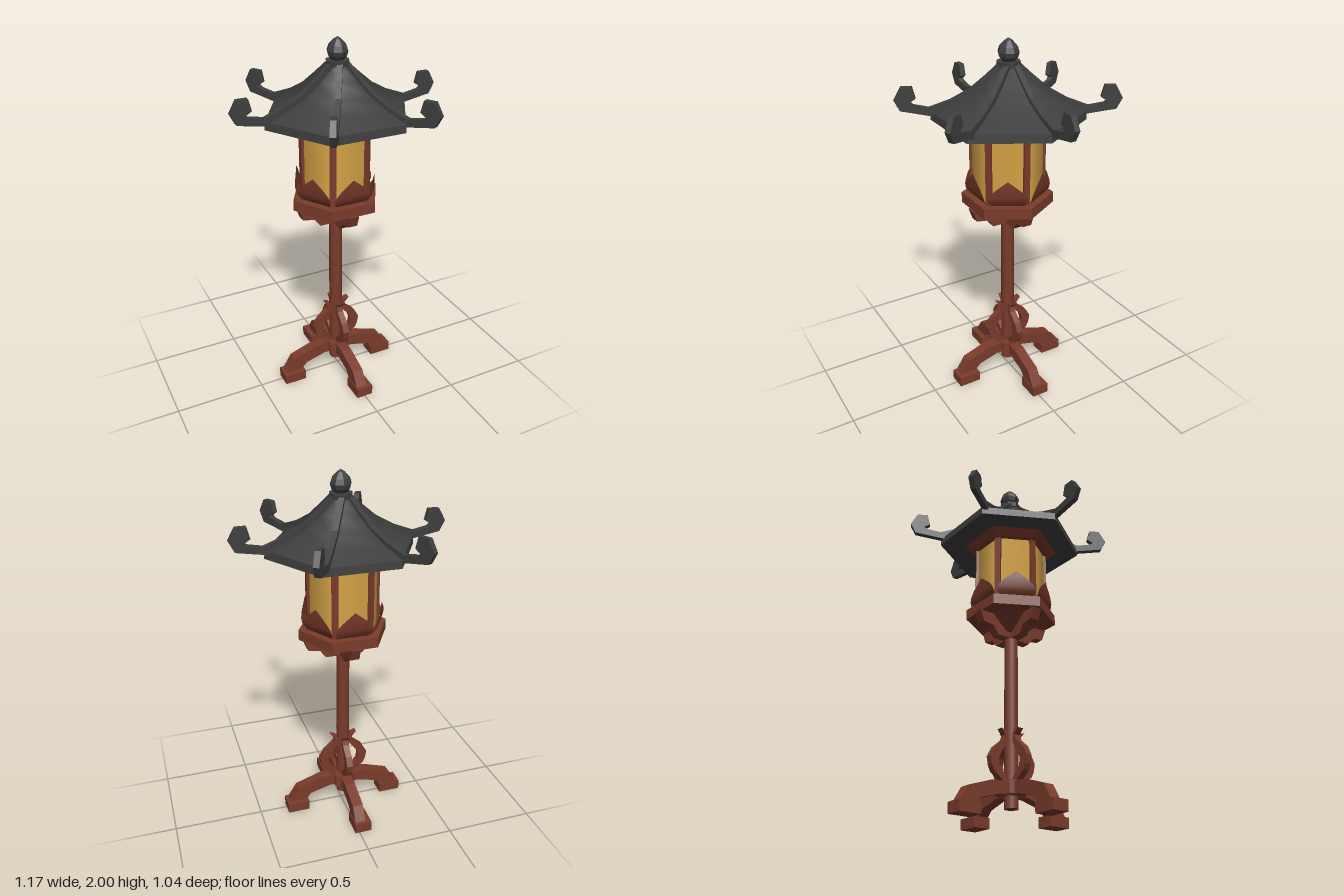
import * as THREE from 'three';

const wood = new THREE.MeshStandardMaterial({ color: 0x7a3b2b });
wood.name = 'red wood';
const tile = new THREE.MeshStandardMaterial({ color: 0x3f3f3f });
tile.name = 'dark roof tile';
const glow = new THREE.MeshStandardMaterial({ color: 0xd9a748 });
glow.name = 'amber pane';
const petalWood = new THREE.MeshStandardMaterial({ color: 0x753828, side: THREE.DoubleSide });
petalWood.name = 'petal wood';

const V = (pts) => pts.map(([x, y]) => new THREE.Vector2(x, y));

function add(parent, name, geometry, material) {
  const mesh = new THREE.Mesh(geometry, material);
  mesh.name = name;
  parent.add(mesh);
  return mesh;
}

// Hard-edged version of a geometry
function flat(geometry) {
  const g = geometry.index ? geometry.toNonIndexed() : geometry;
  g.computeVertexNormals();
  return g;
}

// Upright prism or frustum with a corner on +x
function prism(rTop, rBottom, y0, y1, sides = 6) {
  return new THREE.CylinderGeometry(rTop, rBottom, y1 - y0, sides, 1, false, Math.PI / 2)
    .translate(0, (y0 + y1) / 2, 0);
}

// Side outline in (radius, height), given thickness between z0 and z1
function slab(pts, z0, z1) {
  return new THREE.ExtrudeGeometry(new THREE.Shape(V(pts)), { depth: z1 - z0, bevelEnabled: false })
    .translate(0, 0, z0);
}

// Copies of a part spaced evenly around the axis
function ring(parent, name, count, start, geometry, material) {
  for (let i = 0; i < count; i++) {
    add(parent, name, geometry, material).rotation.y = -(start + (i * Math.PI * 2) / count);
  }
}

// Curved petal facing +x, lofted from [height, distance, half width]
function petalGeometry() {
  const rows = [[1.16, 0.178, 0.088], [1.19, 0.2, 0.104], [1.22, 0.207, 0.1],
    [1.255, 0.21, 0.07], [1.28, 0.21, 0.038], [1.308, 0.21, 0.002]];
  const pos = [];
  const index = [];
  rows.forEach(([y, d, w], i) => {
    pos.push(d, y, w, d, y, -w);
    if (i) {
      const a = 2 * i - 2;
      index.push(a, a + 1, a + 3, a, a + 3, a + 2);
    }
  });
  const g = new THREE.BufferGeometry();
  g.setAttribute('position', new THREE.Float32BufferAttribute(pos, 3));
  g.setIndex(index);
  g.computeVertexNormals();
  return g;
}

function buildStand() {
  const stand = new THREE.Group();
  stand.name = 'stand';
  add(stand, 'pole', new THREE.CylinderGeometry(0.037, 0.037, 1.0, 12).translate(0, 0.56, 0), wood);
  add(stand, 'hub', flat(prism(0.078, 0.078, 0.125, 0.193, 8)), wood);

  // Splayed legs and block feet
  const leg = slab([[0.03, 0.19], [0.14, 0.185], [0.285, 0.137], [0.335, 0.055],
    [0.24, 0.055], [0.205, 0.09], [0.09, 0.122], [0.03, 0.122]], -0.03, 0.03);
  ring(stand, 'leg', 4, 0, leg, wood);
  const foot = new THREE.BoxGeometry(0.127, 0.057, 0.096).translate(0.291, 0.0285, -0.0125);
  ring(stand, 'foot', 4, 0, foot, wood);

  // Curling leaves round the foot of the pole
  const leaf = slab([[0.03, 0.18], [0.06, 0.19], [0.12, 0.235], [0.135, 0.265], [0.143, 0.31],
    [0.116, 0.36], [0.06, 0.408], [0.05, 0.435], [0.076, 0.466], [0.045, 0.455], [0.028, 0.435],
    [0.034, 0.395], [0.08, 0.335], [0.092, 0.3], [0.085, 0.26], [0.03, 0.205]], -0.018, 0.018);
  ring(stand, 'leaf', 4, 0, leaf, wood);

  // Stepped brackets under the platform
  const bracket = slab([[0, 0.985], [0.105, 0.985], [0.14, 1.03], [0.205, 1.04],
    [0.228, 1.103], [0, 1.103]], -0.026, 0.026);
  ring(stand, 'bracket', 4, 0, bracket, wood);
  add(stand, 'bracketCup', flat(prism(0.17, 0.06, 1.02, 1.105)), wood);
  return stand;
}

function buildLantern() {
  const lantern = new THREE.Group();
  lantern.name = 'lantern';
  add(lantern, 'platform', flat(prism(0.25, 0.25, 1.1, 1.158)), wood);
  add(lantern, 'panes', prism(0.198, 0.198, 1.155, 1.545), glow);
  const post = new THREE.BoxGeometry(0.034, 0.385, 0.034).translate(0.186, 1.35, 0);
  ring(lantern, 'post', 6, 0, post, wood);
  ring(lantern, 'petal', 6, Math.PI / 6, petalGeometry(), petalWood);
  add(lantern, 'topTrim', flat(prism(0.268, 0.23, 1.538, 1.58)), wood);
  return lantern;
}

function buildRoof() {
  const roof = new THREE.Group();
  roof.name = 'roof';
  add(roof, 'eaves', flat(prism(0.402, 0.405, 1.577, 1.62)), tile);
  const slope = V([[0.402, 1.62], [0.3, 1.665], [0.2, 1.722], [0.12, 1.79], [0.045, 1.865]]);
  add(roof, 'roofSlope', new THREE.LatheGeometry(slope, 6, Math.PI / 2), tile);

  // Ridges ending in upturned hooks
  const ridge = slab([[0.03, 1.85], [0.12, 1.77], [0.2, 1.7], [0.3, 1.64], [0.39, 1.604],
    [0.555, 1.632], [0.585, 1.69], [0.548, 1.757], [0.49, 1.757], [0.474, 1.695], [0.505, 1.675],
    [0.49, 1.662], [0.41, 1.647], [0.3, 1.688], [0.2, 1.744], [0.12, 1.812], [0.05, 1.876],
    [0.03, 1.876]], -0.03, 0);
  ring(roof, 'ridge', 6, 0, ridge, tile);

  // Finial
  add(roof, 'finialCollar', flat(prism(0.063, 0.06, 1.857, 1.885, 8)), tile);
  const bulb = V([[0.03, 1.88], [0.05, 1.905], [0.057, 1.93], [0.048, 1.958], [0.02, 1.987], [0, 2.0]]);
  add(roof, 'finialBulb', flat(new THREE.LatheGeometry(bulb, 8)), tile);
  return roof;
}

export function createModel() {
  const model = new THREE.Group();
  model.name = 'gardenLantern';
  const stand = buildStand();
  const lantern = buildLantern();
  stand.position.x = lantern.position.x = -0.012;
  model.add(stand, lantern, buildRoof());
  return model;
}
